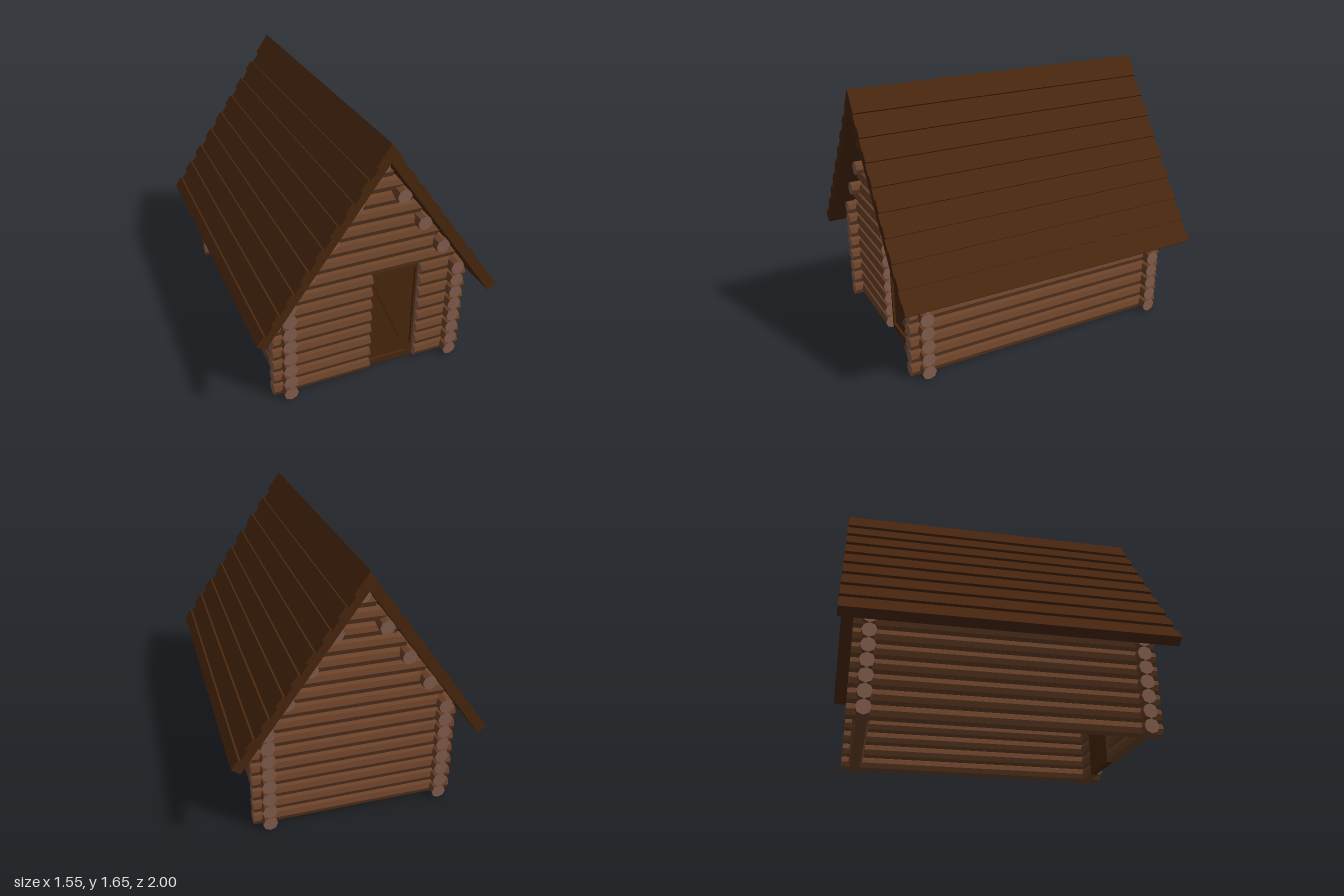
import * as THREE from 'three';

const R = 0.0454, PITCH = 2 * R;          // log radius and course height
const WALL_X = 0.545, WALL_Z = 0.818;     // wall centre lines
const END_X = 0.636, END_Z = 0.91;        // log overhang at the corners
const COURSES = 8, GABLE_COURSES = 9;
const DOOR = { x0: 0, x1: 0.32, h: COURSES * PITCH };
const APEX = 1.65, EAVE_X = 0.775, EAVE_Y = 0.56, ROOF_T = 0.065, STEP = 0.017;

const mat = (color) => new THREE.MeshStandardMaterial({ color, flatShading: true });

export function createModel() {
  const model = new THREE.Group();
  const bark = mat(0x6a4229), cut = mat(0x85604f), plank = mat(0x4a270e);

  const group = (name) => {
    const g = new THREE.Group();
    g.name = name;
    model.add(g);
    return g;
  };

  // Eight-sided log between two positions along the x or z axis
  const log = (parent, name, axis, from, to, y, other) => {
    const mesh = new THREE.Mesh(new THREE.CylinderGeometry(R, R, to - from, 8), [bark, cut, cut]);
    const mid = (from + to) / 2;
    if (axis === 'x') {
      mesh.rotation.z = Math.PI / 2;
      mesh.position.set(mid, y, other);
    } else {
      mesh.rotation.x = Math.PI / 2;
      mesh.position.set(other, y, mid);
    }
    mesh.name = name;
    parent.add(mesh);
  };

  // Roof slope directions: down the slope and outward
  const len = Math.hypot(EAVE_X, APEX - EAVE_Y);
  const dx = EAVE_X / len, dy = (EAVE_Y - APEX) / len;
  const slopePoint = (s, depth) => new THREE.Vector2(dx * s + dy * depth, APEX + dy * s - dx * depth);
  const innerApex = APEX - ROOF_T / dx;

  // Walls: crossing logs, front courses interrupted by the doorway
  const sideWalls = group('sideWalls'), front = group('frontWall'), back = group('backWall');
  for (let i = 0; i < COURSES; i++) {
    const y = R + i * PITCH;
    for (const s of [-1, 1]) log(sideWalls, 'sideLog', 'z', -END_Z, END_Z, y, s * WALL_X);
    log(back, 'backLog', 'x', -END_X, END_X, y, -WALL_Z);
    log(front, 'frontLog', 'x', -END_X, DOOR.x0, y, WALL_Z);
    log(front, 'frontLog', 'x', DOOR.x1, END_X, y, WALL_Z);
  }

  // Gables: logs shortening under the roof
  for (let i = 0; i < GABLE_COURSES; i++) {
    const y = R + (COURSES + i) * PITCH;
    const half = (innerApex - y) * dx / -dy;
    log(front, 'gableLog', 'x', -half, half, y, WALL_Z);
    log(back, 'gableLog', 'x', -half, half, y, -WALL_Z);
  }

  // Ridge log and purlins
  const purlins = group('purlins');
  log(purlins, 'ridgeLog', 'z', -END_Z, END_Z, 1.475, 0);
  for (const [x, y] of [[0.146, 1.262], [0.29, 1.055], [0.426, 0.866]])
    for (const s of [-1, 1]) log(purlins, 'purlin', 'z', -END_Z, END_Z, y, s * x);

  // Roof: stepped boards on both slopes, one profile run along z
  const rows = 9, pitch = len / rows;
  const outer = [slopePoint(0, 0)];
  for (let i = 1; i < rows; i++) {
    const s = i * pitch;
    outer.push(slopePoint(s, 0), slopePoint(s, STEP), slopePoint(s + pitch / 2, STEP), slopePoint(s + pitch / 2, 0));
  }
  outer.push(slopePoint(len, 0), slopePoint(len, ROOF_T));
  const mirrored = outer.slice(1).reverse().map((p) => new THREE.Vector2(-p.x, p.y));
  const profile = new THREE.Shape([...outer, new THREE.Vector2(0, innerApex), ...mirrored]);
  const roofGeo = new THREE.ExtrudeGeometry(profile, { depth: 2, bevelEnabled: false });
  roofGeo.translate(0, 0, -1);
  const roof = new THREE.Mesh(roofGeo, plank);
  roof.name = 'roof';
  model.add(roof);

  // Door: recessed panel behind a frame with a diagonal brace
  const door = group('door');
  const panel = new THREE.Mesh(new THREE.BoxGeometry(DOOR.x1 - DOOR.x0, DOOR.h, 0.025), plank);
  panel.position.set((DOOR.x0 + DOOR.x1) / 2, DOOR.h / 2, 0.787);
  panel.name = 'doorPanel';
  door.add(panel);

  const path = (Type, pts) => new Type(pts.map(([x, y]) => new THREE.Vector2(x, y)));
  const frame = path(THREE.Shape, [[DOOR.x0, 0], [DOOR.x1, 0], [DOOR.x1, DOOR.h], [DOOR.x0, DOOR.h]]);
  frame.holes.push(
    path(THREE.Path, [[0.04, 0.693], [0.305, 0.693], [0.305, 0.085]]),
    path(THREE.Path, [[0.015, 0.645], [0.28, 0.038], [0.015, 0.038]]),
  );
  const frameMesh = new THREE.Mesh(new THREE.ExtrudeGeometry(frame, { depth: 0.016, bevelEnabled: false }), plank);
  frameMesh.position.z = 0.799;
  frameMesh.name = 'doorFrameAndBrace';
  door.add(frameMesh);

  return model;
}
